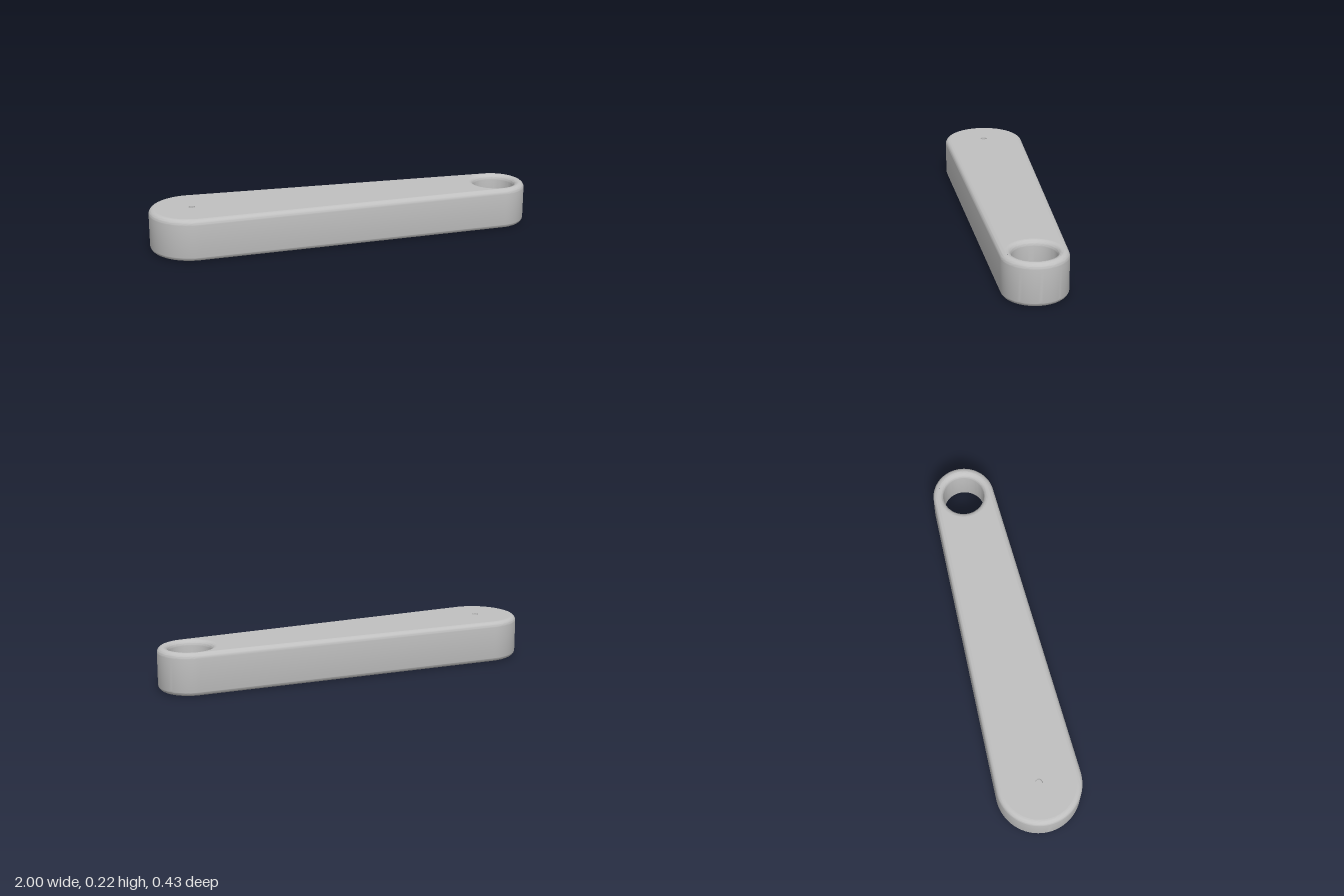
import * as THREE from 'three';
import { toCreasedNormals, mergeGeometries } from 'three/addons/utils/BufferGeometryUtils.js';

const H = 0.216;                       // overall height
const R = 0.027;                       // shell thickness and edge rounding
const BIG = { x: -0.784, r: 0.216 };   // wide end
const SMALL = { x: 0.838, r: 0.162 };  // narrow end
const PHI = Math.acos((BIG.r - SMALL.r) / (SMALL.x - BIG.x)); // tangent angle
const TURN = Math.PI * 2;

// points on an arc around (x, 0)
function arc(x, r, a0, a1, n) {
  return Array.from({ length: n + 1 }, (_, i) => {
    const a = a0 + (a1 - a0) * i / n;
    return new THREE.Vector2(x + r * Math.cos(a), r * Math.sin(a));
  });
}

// closed clockwise circle, for holes
const hole = (x, r) => arc(x, r, 0, -TURN, 80).slice(0, -1);

// tapered outline, drawn in by a given inset
const outline = (inset) => [
  ...arc(BIG.x, BIG.r - inset, PHI, TURN - PHI, 40),
  ...arc(SMALL.x, SMALL.r - inset, -PHI, PHI, 40),
];

// skin through a stack of matching loops, listed from bottom to top
function loft(rings) {
  const n = rings[0].loop.length, pos = [], idx = [];
  rings.forEach(({ loop, y }) => loop.forEach((p) => pos.push(p.x, y, -p.y)));
  for (let k = 0; k < rings.length - 1; k++) {
    for (let i = 0; i < n; i++) {
      const a = k * n + i, b = k * n + (i + 1) % n;
      idx.push(a, b, b + n, a, b + n, a + n);
    }
  }
  const g = new THREE.BufferGeometry();
  g.setAttribute('position', new THREE.Float32BufferAttribute(pos, 3));
  g.setIndex(idx);
  return toCreasedNormals(g, 0.6);
}

// flat horizontal face with holes, facing up or down
function face(loop, holes, y, up) {
  const shape = new THREE.Shape(loop);
  shape.holes = holes.map((h) => new THREE.Path(h));
  let g = new THREE.ShapeGeometry(shape).rotateX(-Math.PI / 2).translate(0, y, 0);
  if (!up) {
    const ix = g.index.array;
    for (let i = 0; i < ix.length; i += 3) [ix[i], ix[i + 1]] = [ix[i + 1], ix[i]];
  }
  g = g.toNonIndexed();
  g.deleteAttribute('uv');
  g.computeVertexNormals();
  return g;
}

// quarter-round steps: {d: distance from the wall, y: height}
function rounding(top) {
  return Array.from({ length: 9 }, (_, i) => {
    const a = (i / 8) * Math.PI / 2;
    return top
      ? { d: R * (1 - Math.cos(a)), y: H - R + R * Math.sin(a) }
      : { d: R * (1 - Math.sin(a)), y: R - R * Math.cos(a) };
  });
}

export function createModel() {
  const group = new THREE.Group();
  const grey = new THREE.MeshStandardMaterial({ color: 0xc0c0c0 });
  grey.name = 'grey';
  const add = (name, ...geos) => {
    const mesh = new THREE.Mesh(geos.length > 1 ? mergeGeometries(geos) : geos[0], grey);
    mesh.name = name;
    group.add(mesh);
  };

  const socketR = BIG.r - 2 * R, eyeR = SMALL.r - 2 * R, pinR = 0.017;
  const ceiling = H - R, socketTop = H - 2 * R;
  const low = rounding(false), high = rounding(true);

  // outer wall with rounded edges
  add('outerWall', loft([...low, ...high].map(({ d, y }) => ({ loop: outline(d), y }))));

  // top deck, running up to the rounded rim of the eye hole
  const deck = [
    ...arc(BIG.x, BIG.r - R, PHI, TURN - PHI, 40),
    ...arc(SMALL.x, SMALL.r - R, TURN - PHI, PHI, 40),
  ];
  add('topDeck', face(deck, [hole(BIG.x, pinR)], H, true));

  // through hole in the narrow end
  add('eyeHole', loft([...low, ...high].map(({ d, y }) => ({ loop: hole(SMALL.x, eyeR + d), y }))));

  // blind socket under the wide end
  add('socket',
    loft([...low, { d: 0, y: socketTop }].map(({ d, y }) => ({ loop: hole(BIG.x, socketR + d), y }))),
    face(hole(BIG.x, socketR), [], socketTop, false));

  // hollow underside between the thin side walls and the two round bosses
  const pocket = [
    ...arc(BIG.x, BIG.r - R, -PHI, PHI, 40),
    ...arc(SMALL.x, SMALL.r - R, PHI, TURN - PHI, 40),
  ];
  add('undersidePocket',
    loft([0, ceiling].map((y) => ({ loop: pocket, y }))),
    face(pocket, [], ceiling, false));

  // small pin hole on top
  add('pinHole',
    loft([ceiling, H].map((y) => ({ loop: hole(BIG.x, pinR), y }))),
    face(hole(BIG.x, pinR), [], ceiling, true));

  return group;
}
